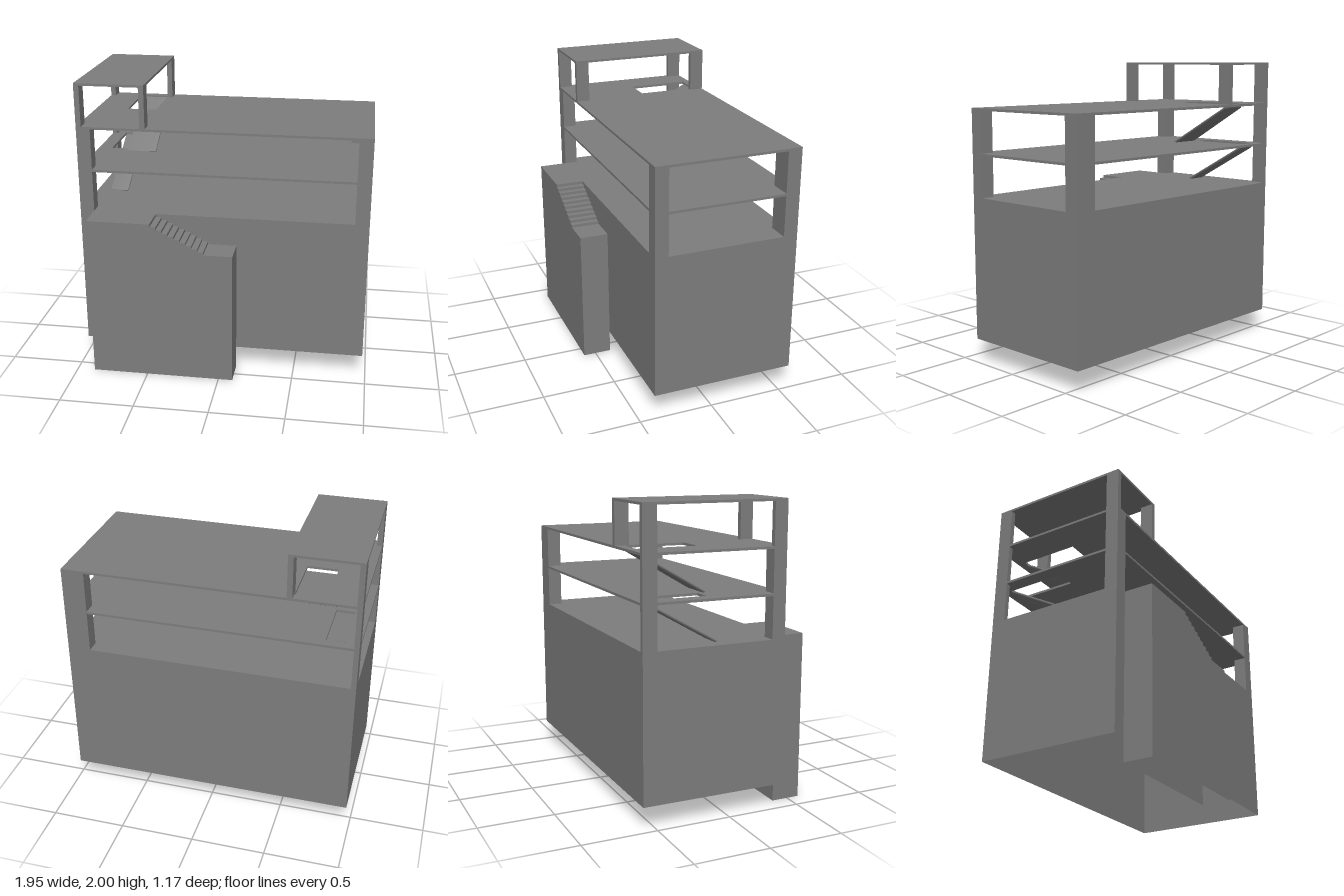
import * as THREE from 'three';
import { mergeVertices } from 'three/addons/utils/BufferGeometryUtils.js';

const material = new THREE.MeshStandardMaterial({ color: 0x7d7d7d, side: THREE.DoubleSide });
const X0 = -0.975, X1 = 0.975, Z0 = -0.585, Z1 = 0.39;
const GROUND = 1.122;

function add(group, name, geometry) {
  const mesh = new THREE.Mesh(geometry, material);
  mesh.name = name;
  group.add(mesh);
}

// box given by its limits on each axis
function box(x0, x1, y0, y1, z0, z1) {
  return new THREE.BoxGeometry(x1 - x0, y1 - y0, z1 - z0)
    .translate((x0 + x1) / 2, (y0 + y1) / 2, (z0 + z1) / 2);
}

// removes the faces lying on the lowest level, leaving an open shell
function openBottom(geometry) {
  const g = geometry.index ? geometry.toNonIndexed() : geometry;
  g.computeBoundingBox();
  const low = g.boundingBox.min.y + 1e-4;
  const p = g.attributes.position;
  const kept = [];
  for (let i = 0; i < p.count; i += 3) {
    if (p.getY(i) < low && p.getY(i + 1) < low && p.getY(i + 2) < low) continue;
    kept.push(i, i + 1, i + 2);
  }
  g.clearGroups();
  g.setIndex(kept);
  return g;
}

// floor plate with a rectangular opening for a ramp
function slab(y0, y1, hx0, hx1, hz0, hz1) {
  const shape = new THREE.Shape([
    new THREE.Vector2(X0, -Z1), new THREE.Vector2(X1, -Z1),
    new THREE.Vector2(X1, -Z0), new THREE.Vector2(X0, -Z0)]);
  shape.holes.push(new THREE.Path([
    new THREE.Vector2(hx0, -hz1), new THREE.Vector2(hx0, -hz0),
    new THREE.Vector2(hx1, -hz0), new THREE.Vector2(hx1, -hz1)]));
  return new THREE.ExtrudeGeometry(shape, { depth: y1 - y0, bevelEnabled: false })
    .rotateX(-Math.PI / 2).translate(0, y0, 0);
}

// thin smooth-shaded plate rising toward the back; one edge can taper inward
function ramp(x0, x1, yLow, yHigh, zLow, zHigh, taper) {
  const plate = box(x0, x1, 0, 0.018, zHigh, zLow);
  plate.deleteAttribute('normal');
  plate.deleteAttribute('uv');
  const g = mergeVertices(plate);
  const p = g.attributes.position;
  for (let i = 0; i < p.count; i++) {
    const t = (p.getZ(i) - zLow) / (zHigh - zLow);
    p.setY(i, p.getY(i) + yLow + t * (yHigh - yLow));
    if (p.getX(i) < (x0 + x1) / 2) p.setX(i, x0 + t * taper);
  }
  g.computeVertexNormals();
  return g;
}

export function createModel() {
  const model = new THREE.Group();
  model.name = 'building';

  // hollow main block
  add(model, 'mainBlock', openBottom(box(X0, X1, 0.153, GROUND, Z0, Z1)));

  // stair block in front, with ten steps going down to a landing
  const steps = 10, sx = -0.453, run = 0.0395, rise = 0.0197;
  const outline = new THREE.Shape();
  outline.moveTo(-0.88, 0);
  outline.lineTo(0.097, 0);
  outline.lineTo(0.097, GROUND - steps * rise);
  for (let i = steps - 1; i >= 0; i--) {
    outline.lineTo(sx + i * run, GROUND - (i + 1) * rise);
    outline.lineTo(sx + i * run, GROUND - i * rise);
  }
  outline.lineTo(-0.88, GROUND);
  outline.closePath();
  add(model, 'stairBlock', openBottom(
    new THREE.ExtrudeGeometry(outline, { depth: 0.195, bevelEnabled: false }).translate(0, 0, Z1)));

  // corner posts of the two open storeys
  const frontZ = [0.3, Z1], backZ = [Z0, -0.49];
  add(model, 'frontRightPost', box(X0, -0.88, GROUND, 1.7, ...frontZ));
  add(model, 'frontLeftPost', box(0.88, X1, GROUND, 1.7, ...frontZ));
  add(model, 'backRightPost', box(X0, -0.942, GROUND, 1.7, ...backZ));
  add(model, 'backLeftPost', box(0.82, X1, GROUND, 1.7, ...backZ));

  // floor plates
  add(model, 'middleFloor', slab(1.399, 1.415, -0.88, -0.755, -0.52, -0.12));
  add(model, 'upperFloor', slab(1.693, 1.709, -0.752, -0.548, -0.53, -0.12));

  // ramps between the storeys
  add(model, 'lowerRamp', ramp(-0.88, -0.755, 1.11, 1.385, -0.04, -0.52, 0));
  add(model, 'upperRamp', ramp(-0.755, -0.548, 1.402, 1.68, -0.06, -0.53, 0.03));

  // roof pavilion on four posts
  for (const [side, x0, x1] of [['Right', X0, -0.94], ['Left', -0.545, -0.51]]) {
    add(model, 'pavilionFront' + side + 'Post', box(x0, x1, 1.709, 1.985, ...frontZ));
    add(model, 'pavilionBack' + side + 'Post', box(x0, x1, 1.709, 1.985, ...backZ));
  }
  add(model, 'pavilionRoof', box(X0, -0.51, 1.984, 2, Z0, Z1));

  return model;
}
